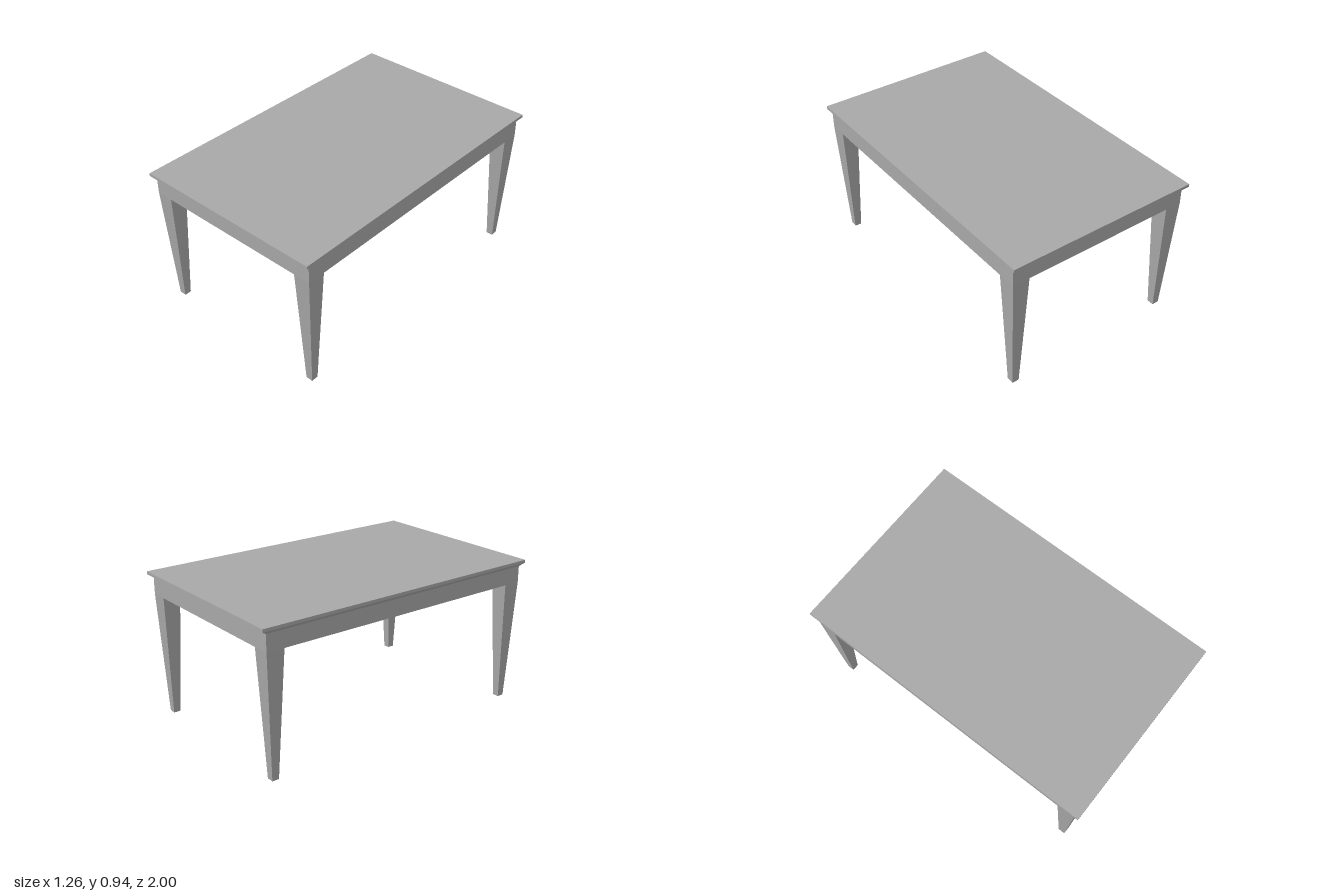
import * as THREE from 'three';

// Flat-sided shell through rectangles [halfX, y, halfZ], listed from top to bottom
function loft(rings, capStart, capEnd) {
  const corners = ([x, y, z]) => [[-x, y, z], [x, y, z], [x, y, -z], [-x, y, -z]];
  const pos = [];
  const quad = (a, b, c, d) => pos.push(...a, ...b, ...c, ...a, ...c, ...d);
  const loops = rings.map(corners);
  for (let i = 0; i + 1 < loops.length; i++) {
    for (let k = 0; k < 4; k++) {
      const n = (k + 1) % 4;
      quad(loops[i + 1][k], loops[i + 1][n], loops[i][n], loops[i][k]);
    }
  }
  if (capStart) quad(...loops[0]);
  if (capEnd) quad(...loops[loops.length - 1].reverse());
  const geo = new THREE.BufferGeometry();
  geo.setAttribute('position', new THREE.Float32BufferAttribute(pos, 3));
  geo.computeVertexNormals();
  return geo;
}

export function createModel() {
  const table = new THREE.Group();
  table.name = 'table';
  const grey = new THREE.MeshStandardMaterial({ color: 0xa8a8a8 });
  grey.name = 'grey';

  const add = (name, geo) => {
    const mesh = new THREE.Mesh(geo, grey);
    mesh.name = name;
    table.add(mesh);
    return mesh;
  };

  const TOP_Y = 0.94, RIM_Y = 0.9, FRAME_Y = 0.794, CEILING_Y = 0.845;
  const OUT_X = 0.612, OUT_Z = 0.967;  // outside of the frame
  const IN_X = 0.502, IN_Z = 0.852;    // inside of the frame
  const SLOPE = 0.038;                 // inward lean of the frame's inner faces

  // Thin slab with a sloping rim below its edge
  add('tableTop', loft([[0.632, TOP_Y, 1], [0.632, 0.921, 1], [OUT_X, RIM_Y, OUT_Z]], true, false));

  // Apron: outside, underside and sloping inside faces, closed by the underside of the top
  add('apron', loft([
    [OUT_X, RIM_Y, OUT_Z], [OUT_X, FRAME_Y, OUT_Z],
    [IN_X, FRAME_Y, IN_Z], [IN_X - SLOPE, CEILING_Y, IN_Z - SLOPE],
  ], false, true));

  // Four tapered legs with slightly chamfered feet
  const legGeo = loft([
    [(OUT_X - IN_X) / 2, FRAME_Y, (OUT_Z - IN_Z) / 2],
    [0.0225, 0.004, 0.0225], [0.02, 0, 0.02],
  ], false, true);
  for (const sx of [1, -1]) {
    for (const sz of [1, -1]) {
      const name = (sz > 0 ? 'front' : 'back') + (sx > 0 ? 'Left' : 'Right') + 'Leg';
      add(name, legGeo).position.set(sx * (OUT_X + IN_X) / 2, 0, sz * (OUT_Z + IN_Z) / 2);
    }
  }
  return table;
}
